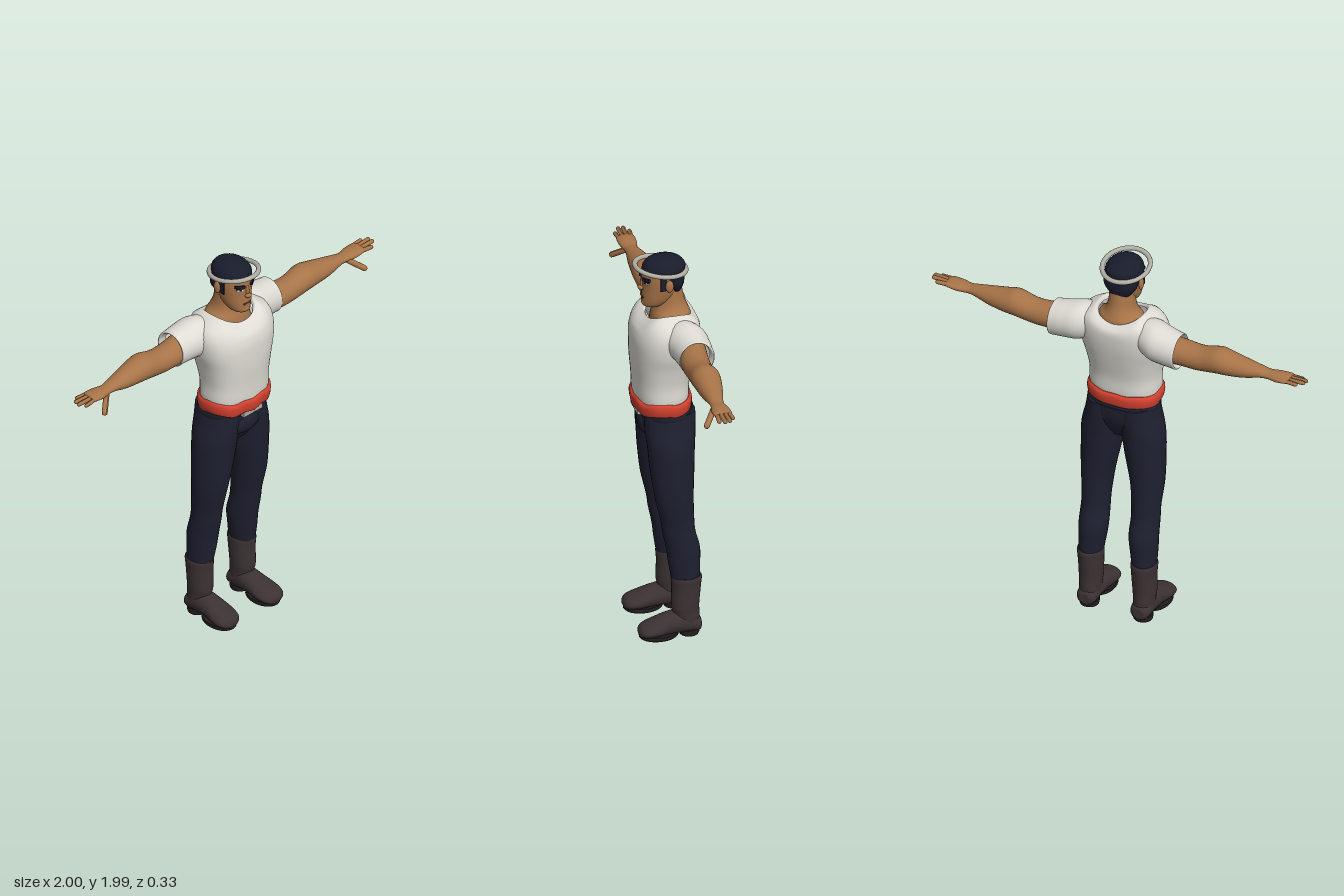
import * as THREE from 'three';

const mat = (name, color, side = THREE.FrontSide) => {
  const m = new THREE.MeshStandardMaterial({ color, side });
  m.name = name;
  return m;
};

// Axis mappings from (t along, u, v) to world coordinates
const AXES = {
  y: (t, u, v) => [u, t, v],
  x: (t, u, v) => [t, v, u],
  z: (t, u, v) => [v, u, t],
};

// Smooth surface through rings [t, centreU, centreV, radiusU, radiusV]
function loft(rings, { axis = 'y', n = 28, power = 2, steps = 4, caps = true, bend = null } = {}) {
  const fine = [];
  const at = (i) => rings[Math.min(Math.max(i, 0), rings.length - 1)];
  for (let i = 0; i < rings.length - 1; i++) {
    for (let s = 0; s < steps; s++) {
      const f = s / steps;
      fine.push(at(i).map((b, k) => {
        const a = at(i - 1)[k], c = at(i + 1)[k], d = at(i + 2)[k];
        return b + 0.5 * f * (c - a + f * (2 * a - 5 * b + 4 * c - d + f * (3 * (b - c) + d - a)));
      }));
    }
  }
  fine.push(at(rings.length - 1));
  const pos = [], idx = [];
  const put = (t, u, v) => {
    const p = new THREE.Vector3(...AXES[axis](t, u, v));
    if (bend) bend(p);
    pos.push(p.x, p.y, p.z);
  };
  const ring = ([t, cu, cv, ru, rv]) => {
    const e = 2 / power;
    for (let j = 0; j < n; j++) {
      const a = (j / n) * Math.PI * 2, c = Math.cos(a), s = Math.sin(a);
      put(t, cu + ru * Math.sign(c) * Math.abs(c) ** e, cv + rv * Math.sign(s) * Math.abs(s) ** e);
    }
  };
  fine.forEach(ring);
  for (let i = 0; i < fine.length - 1; i++) {
    for (let j = 0; j < n; j++) {
      const a = i * n + j, b = i * n + (j + 1) % n;
      idx.push(a, a + n, b, b, a + n, b + n);
    }
  }
  if (caps) {
    [fine[0], fine[fine.length - 1]].forEach((r, end) => {
      const base = pos.length / 3;
      ring(r);
      put(r[0], r[1], r[2]);
      for (let j = 0; j < n; j++) {
        const a = base + j, b = base + (j + 1) % n;
        idx.push(base + n, ...(end ? [b, a] : [a, b]));
      }
    });
  }
  const g = new THREE.BufferGeometry();
  g.setAttribute('position', new THREE.Float32BufferAttribute(pos, 3));
  g.setIndex(idx);
  g.computeVertexNormals();
  return g;
}

// Rounded digit between two points
function digit(a, b, r) {
  const A = new THREE.Vector3(...a), B = new THREE.Vector3(...b), d = B.clone().sub(A);
  const g = new THREE.CapsuleGeometry(r, d.length() - r, 4, 10);
  g.applyQuaternion(new THREE.Quaternion().setFromUnitVectors(new THREE.Vector3(0, 1, 0), d.normalize()));
  const c = A.add(B).multiplyScalar(0.5);
  return g.translate(c.x, c.y, c.z);
}

const ball = (x, y, z, rx, ry, rz) => new THREE.SphereGeometry(1, 20, 14).scale(rx, ry, rz).translate(x, y, z);
const plate = (x, y, z, w, h, d, turn = 0, roll = 0) =>
  new THREE.BoxGeometry(w, h, d).rotateZ(roll).rotateY(turn).translate(x, y, z);

// Reflected copy with its winding put right
function mirror(g) {
  const m = g.clone().scale(-1, 1, 1), i = m.index;
  for (let k = 0; k < i.count; k += 3) {
    const a = i.getX(k);
    i.setX(k, i.getX(k + 1));
    i.setX(k + 1, a);
  }
  m.computeVertexNormals();
  return m;
}

export function createModel() {
  const root = new THREE.Group();
  root.name = 'standingMan';
  const skin = mat('skin', 0xa87448);
  const shirt = mat('shirt', 0xdedcd4, THREE.DoubleSide);
  const navy = mat('trousers', 0x1e2030);
  const leather = mat('bootLeather', 0x3c3234);
  const soleDark = mat('sole', 0x241e20);
  const red = mat('sash', 0xd2402f);
  const metal = mat('metal', 0xb0aea4);
  const hair = mat('hair', 0x191c2c);
  const lip = mat('lips', 0x74452e);
  const white = mat('eyeWhite', 0xd8d4cc);

  const add = (name, g, m) => {
    const mesh = new THREE.Mesh(g, m);
    mesh.name = name;
    root.add(mesh);
  };
  const pair = (name, g, m) => {
    add('left' + name, g, m);
    add('right' + name, mirror(g), m);
  };

  // Shirt body, dipping at the front and back of the open collar
  add('shirtBody', loft([
    [1.2, 0, .02, .165, .12], [1.27, 0, .02, .178, .13], [1.35, 0, .02, .178, .134],
    [1.45, 0, .013, .195, .149], [1.52, 0, .006, .214, .157], [1.58, 0, 0, .222, .16],
    [1.63, 0, -.008, .22, .154], [1.67, 0, -.015, .2, .141], [1.7, 0, -.017, .155, .122],
    [1.715, 0, -.017, .122, .108], [1.7, 0, -.017, .113, .1],
  ], {
    power: 2.4, n: 40, caps: false,
    bend: (p) => { p.y -= .04 * THREE.MathUtils.clamp((p.y - 1.62) / .09, 0, 1) * Math.max(0, 1 - (p.x / .12) ** 2); },
  }), shirt);
  pair('Sleeve', loft([
    [.11, -.04, 1.615, .08, .08], [.19, -.06, 1.606, .1, .098], [.26, -.07, 1.597, .094, .095],
    [.315, -.074, 1.59, .088, .092], [.333, -.074, 1.588, .087, .092], [.333, -.072, 1.587, .08, .083], [.3, -.07, 1.587, .075, .075],
  ], { axis: 'x', caps: false }), shirt);

  // Arms and hands
  pair('Arm', loft([
    [.25, -.07, 1.585, .07, .07], [.35, -.06, 1.579, .069, .064], [.42, -.06, 1.576, .066, .062],
    [.47, -.06, 1.581, .065, .063], [.54, -.06, 1.595, .07, .066], [.6, -.06, 1.592, .065, .058],
    [.68, -.056, 1.588, .053, .045], [.76, -.052, 1.59, .037, .027], [.8, -.05, 1.588, .034, .021],
    [.85, -.05, 1.59, .044, .022], [.9, -.05, 1.594, .045, .016], [.915, -.05, 1.595, .038, .01],
  ], { axis: 'x' }), skin);
  [[-.016, .97, 1.588], [-.038, .998, 1.598], [-.062, .995, 1.6], [-.085, .965, 1.596]].forEach(([z, x, y], i) =>
    pair('Finger' + (i + 1), digit([.87, 1.594, z * .8 - .01], [x - .005, y, z], .0105), skin));
  pair('Thumb', digit([.81, 1.58, -.03], [.88, 1.522, .026], .0145), skin);

  // Trousers
  pair('Leg', loft([
    [.29, .142, -.07, .057, .069], [.38, .137, -.063, .066, .077], [.46, .133, -.058, .071, .082],
    [.55, .133, -.038, .069, .08], [.62, .132, -.03, .07, .082], [.75, .131, -.014, .082, .095],
    [.9, .117, -.008, .098, .108], [1, .108, -.006, .105, .114], [1.06, .1, -.005, .103, .12],
    [1.12, .09, -.005, .097, .124], [1.19, .085, -.007, .09, .122],
  ]), navy);
  add('pelvis', loft([
    [1.0, 0, 0, .09, .07], [1.05, 0, -.002, .15, .098], [1.12, 0, -.006, .178, .12], [1.19, 0, -.007, .176, .125],
  ], { power: 2.4 }), navy);
  add('trouserFlap', ball(0, 1.1, .085, .1, .06, .045), navy);

  // Waist: belt, buckle and wavy sash
  add('belt', loft([[1.165, 0, 0, .178, .126], [1.18, 0, 0, .181, .13], [1.2, 0, .005, .178, .128]], { power: 2.4 }), navy);
  add('buckle', plate(0, 1.183, .137, .125, .024, .02), metal);
  add('sash', loft([
    [1.195, 0, .018, .168, .122], [1.196, 0, .018, .181, .136], [1.225, 0, .018, .188, .142],
    [1.25, 0, .018, .186, .141], [1.262, 0, .018, .177, .13],
  ], { power: 2.4, n: 48, bend: (p) => { p.y += .006 * Math.cos(p.x * 55) * (p.z > 0 ? -1 : .4); } }), red);

  // Boots
  pair('BootShaft', loft([
    [.05, .143, -.078, .052, .058], [.12, .143, -.07, .054, .065], [.16, .143, -.066, .058, .068],
    [.25, .142, -.071, .061, .071], [.305, .143, -.072, .064, .075], [.316, .143, -.072, .06, .07],
  ]), leather);
  pair('BootFoot', loft([
    [-.142, .052, .143, .025, .026], [-.125, .055, .143, .042, .048], [-.05, .072, .143, .06, .056],
    [.02, .066, .143, .055, .06], [.08, .054, .146, .043, .07], [.13, .045, .148, .033, .065],
    [.155, .04, .148, .024, .045], [.165, .038, .148, .008, .018],
  ], { axis: 'z' }), leather);
  pair('Sole', loft([[0, .147, .065, .058, .085], [.01, .147, .065, .066, .096], [.026, .147, .065, .066, .097]]), soleDark);
  pair('Heel', loft([[0, .143, -.085, .046, .046], [.01, .143, -.085, .048, .05], [.03, .143, -.085, .048, .052]]), soleDark);

  // Neck and head
  add('neck', loft([
    [1.63, 0, -.03, .13, .1], [1.68, 0, -.032, .113, .094], [1.71, 0, -.03, .082, .084],
    [1.75, 0, -.025, .066, .073], [1.82, 0, -.02, .06, .065],
  ]), skin);
  add('head', loft([
    [1.725, 0, .062, .025, .03], [1.738, 0, .053, .048, .055], [1.775, 0, .032, .068, .078],
    [1.83, 0, .017, .08, .092], [1.88, 0, .01, .086, .1], [1.93, 0, .004, .084, .098], [1.965, 0, 0, .055, .07],
  ], { n: 32 }), skin);
  add('hairCap', loft([
    [1.805, 0, -.045, .052, .036], [1.85, 0, -.042, .084, .053], [1.895, 0, -.03, .091, .066],
    [1.912, 0, 0, .092, .101], [1.94, 0, .001, .087, .102], [1.965, 0, 0, .067, .08],
    [1.98, 0, 0, .037, .046], [1.985, 0, 0, .008, .01],
  ], { n: 32 }), hair);
  pair('Sideburn', plate(.086, 1.872, .024, .007, .07, .03, .12), hair);
  pair('Ear', ball(.092, 1.862, -.004, .011, .032, .02), skin);

  // Face
  add('noseBridge', ball(0, 1.85, .106, .011, .034, .012), skin);
  add('noseTip', ball(0, 1.828, .112, .017, .012, .017), skin);
  pair('Brow', plate(.042, 1.886, .1, .052, .013, .009, .52, .14), hair);
  pair('EyeWhite', plate(.04, 1.866, .098, .032, .011, .008, .48), white);
  pair('Iris', plate(.038, 1.867, .1, .012, .011, .008, .48), hair);
  pair('Lash', plate(.04, 1.874, .099, .038, .005, .009, .48), hair);
  add('mouth', plate(0, 1.782, .108, .044, .008, .009), lip);
  add('chin', ball(0, 1.748, .094, .028, .018, .018), skin);

  // Tilted head ring
  const halo = new THREE.TorusGeometry(.113, .0115, 12, 56).rotateX(Math.PI / 2)
    .scale(1, 1, 1.1).rotateX(-.15).translate(0, 1.926, .018);
  add('headRing', halo, metal);

  return root;
}
